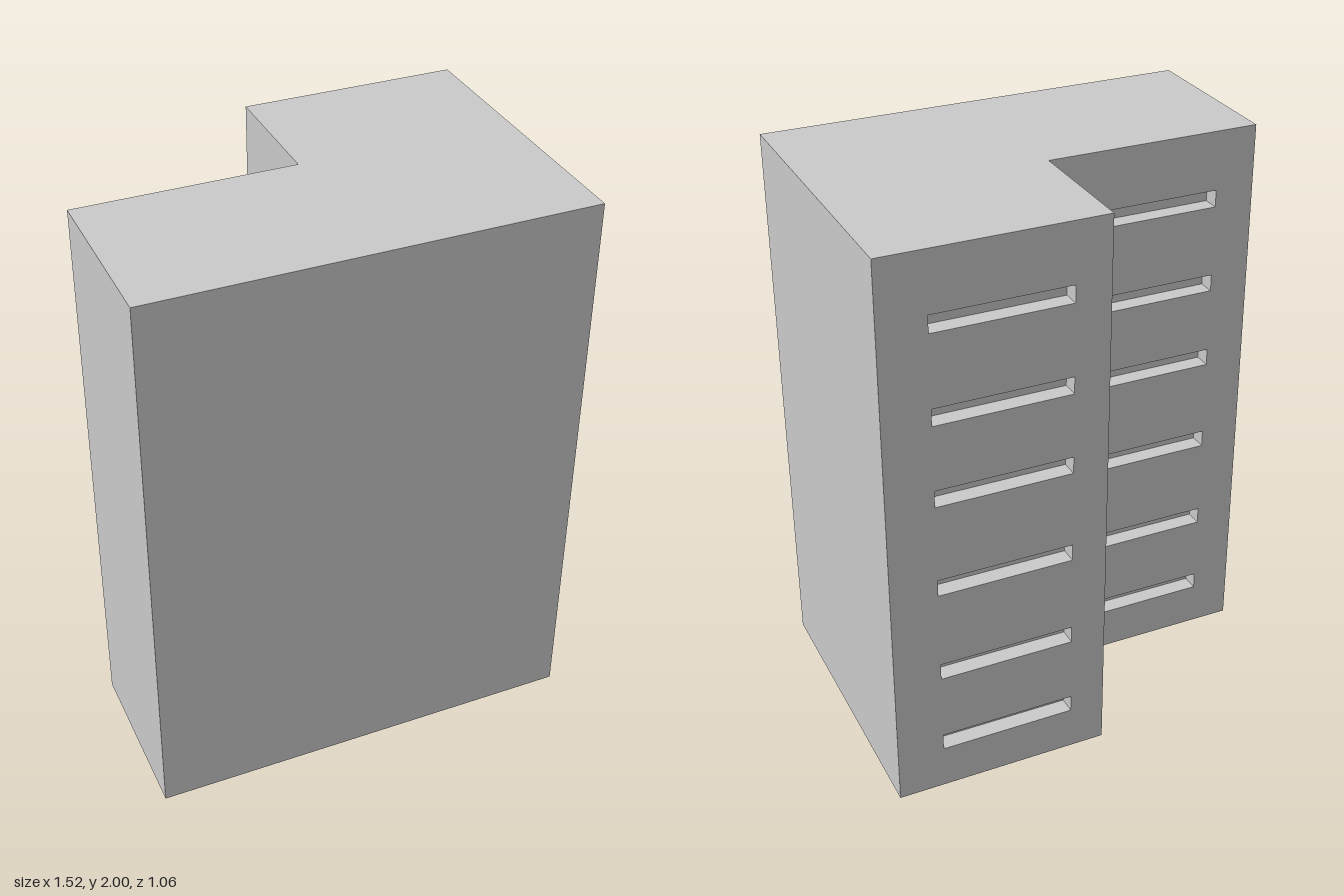
import * as THREE from 'three';

const HEIGHT = 2;
const SLOT_H = 0.06;
const SLOT_DEPTH = 0.06;

const material = new THREE.MeshStandardMaterial({ color: 0xcccccc, flatShading: true });

// Slot centre heights: long slots on the back walls, small ones on the step wall
const longRows = [1.76, 1.447, 1.157, 0.821, 0.485, 0.187];
const smallRows = [1.826, 1.561, 1.281, 1.039, 0.722, 0.386, 0.147];

// Walls of the L plan, in order; from = [x, z], slots run from u0 to u1 along the wall
const walls = [
  { name: 'frontWall', from: [-0.76, 0.53] },
  { name: 'leftWall', from: [0.76, 0.53] },
  { name: 'wingBackWall', from: [0.76, -0.53], rows: longRows, u0: 0.163, u1: 0.637 },
  { name: 'stepWall', from: [0, -0.53], rows: smallRows, u0: 0.198, u1: 0.257 },
  { name: 'mainBackWall', from: [0, -0.075], rows: longRows, u0: 0.147, u1: 0.62 },
  { name: 'rightWall', from: [-0.76, -0.075] },
];

function rectangle(PathType, x0, y0, x1, y1) {
  return new PathType([[x0, y0], [x1, y0], [x1, y1], [x0, y1]].map(([x, y]) => new THREE.Vector2(x, y)));
}

function mesh(name, geometry) {
  const m = new THREE.Mesh(geometry, material);
  m.name = name;
  return m;
}

// Inside of a box with its outer (+z) face left open
function recessGeometry(width) {
  const box = new THREE.BoxGeometry(width, SLOT_H, SLOT_DEPTH);
  const index = Array.from(box.index.array);
  index.splice(24, 6);
  box.clearGroups();
  box.setIndex(index.reverse());
  const geometry = box.toNonIndexed();
  geometry.computeVertexNormals();
  return geometry;
}

// Flat wall with sunken slots, lying in its own xy plane and facing +z
function makeWall({ name, rows = [], u0, u1 }, length) {
  const wall = new THREE.Group();
  wall.name = name;
  const outline = rectangle(THREE.Shape, 0, 0, length, HEIGHT);
  for (const y of rows) {
    outline.holes.push(rectangle(THREE.Path, u0, y - SLOT_H / 2, u1, y + SLOT_H / 2));
    const slot = mesh('windowSlot', recessGeometry(u1 - u0));
    slot.position.set((u0 + u1) / 2, y, -SLOT_DEPTH / 2);
    wall.add(slot);
  }
  wall.add(mesh('wallFace', new THREE.ShapeGeometry(outline)));
  return wall;
}

// Horizontal L-shaped slab face: side 1 faces up, -1 faces down
function makeCap(name, side, y) {
  const plan = new THREE.Shape(walls.map(({ from: [x, z] }) => new THREE.Vector2(x, -side * z)));
  const cap = mesh(name, new THREE.ShapeGeometry(plan).rotateX(-side * Math.PI / 2));
  cap.position.y = y;
  return cap;
}

export function createModel() {
  const model = new THREE.Group();
  model.name = 'building';

  walls.forEach((spec, i) => {
    const [x, z] = spec.from;
    const [nextX, nextZ] = walls[(i + 1) % walls.length].from;
    const wall = makeWall(spec, Math.hypot(nextX - x, nextZ - z));
    wall.position.set(x, 0, z);
    wall.rotation.y = Math.atan2(z - nextZ, nextX - x);
    model.add(wall);
  });

  model.add(makeCap('roof', 1, HEIGHT), makeCap('base', -1, 0));
  return model;
}
